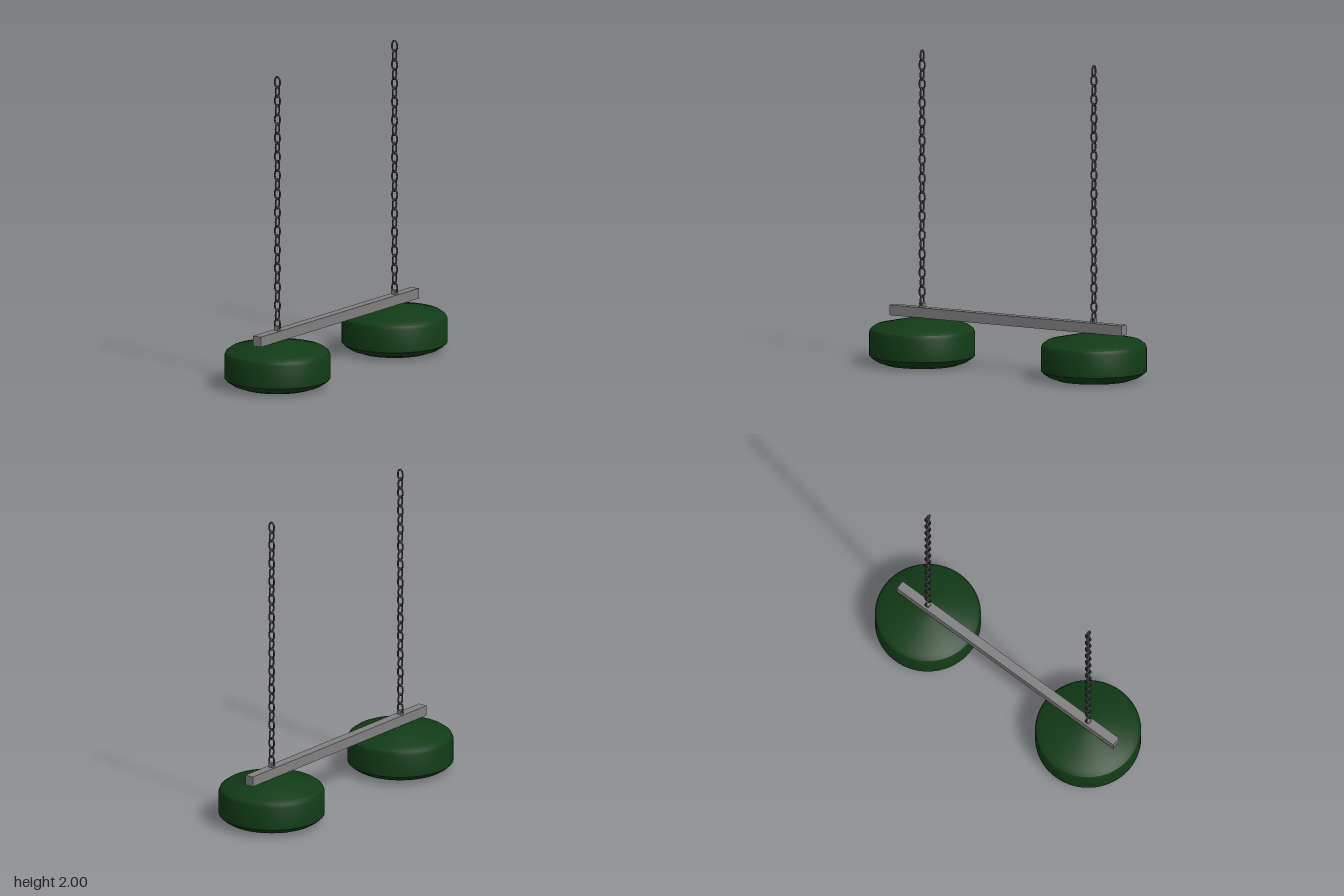
import * as THREE from 'three';
import { toCreasedNormals } from 'three/addons/utils/BufferGeometryUtils.js';

const LAMP_X = 0.637;
const paint = (color) => new THREE.MeshStandardMaterial({ color });
const green = paint(0x113b16);
const steel = paint(0x808080);
const iron = paint(0x484848);
const glass = paint(0xcccccc);

function add(parent, name, geometry, material, x = 0, y = 0, z = 0) {
  const mesh = new THREE.Mesh(geometry, material);
  mesh.name = name;
  mesh.position.set(x, y, z);
  parent.add(mesh);
  return mesh;
}

// Revolve [radius, height] pairs, keeping real edges sharp
function lathe(points, segments, crease) {
  const profile = points.map(([r, y]) => new THREE.Vector2(r, y));
  return toCreasedNormals(new THREE.LatheGeometry(profile, segments), crease);
}

// Oval chain link, upright in the xy plane
function linkGeometry() {
  const points = [];
  for (let i = 0; i < 16; i++) {
    const a = (i / 16) * Math.PI * 2;
    points.push(new THREE.Vector3(Math.cos(a) * 0.02, Math.sin(a) * 0.035, 0));
  }
  const path = new THREE.CatmullRomCurve3(points, true);
  return new THREE.TubeGeometry(path, 24, 0.0055, 8, true);
}

export function createModel() {
  const model = new THREE.Group();
  model.name = 'hangingLamp';

  add(model, 'crossBar', new THREE.BoxGeometry(1.72, 0.065, 0.06), steel, 0, 0.3275, 0);

  // Hollow shade: inner wall from the crown down, round the rim, up the outside
  const shade = lathe([
    [0, 0.28], [0.06, 0.278], [0.28, 0.228], [0.305, 0.215], [0.318, 0.19],
    [0.318, 0.06], [0.305, 0.042], [0.285, 0.032], [0.235, 0.015], [0.235, 0],
    [0.242, 0.004], [0.285, 0.018], [0.315, 0.037], [0.334, 0.055],
    [0.334, 0.2], [0.325, 0.222], [0.295, 0.244], [0.07, 0.292], [0.04, 0.297], [0, 0.297],
  ].map(([r, y]) => [r, y]), 64, 0.5);
  // Light bulb with its neck running up into the crown
  const bulb = lathe([
    [0, 0.065], [0.021, 0.069], [0.039, 0.081], [0.051, 0.099], [0.055, 0.12],
    [0.051, 0.141], [0.04, 0.163], [0.029, 0.19], [0.025, 0.21], [0.025, 0.225],
  ], 32, 0.8);
  const socket = new THREE.CylinderGeometry(0.032, 0.032, 0.06, 24);
  const link = linkGeometry();
  const eyelet = new THREE.BoxGeometry(0.03, 0.027, 0.03);

  for (const side of [-1, 1]) {
    const lamp = new THREE.Group();
    lamp.name = side > 0 ? 'leftLamp' : 'rightLamp';
    lamp.position.x = side * LAMP_X;
    model.add(lamp);
    add(lamp, 'shade', shade, green);
    add(lamp, 'bulb', bulb, glass);
    add(lamp, 'socket', socket, steel, 0, 0.25, 0);
    add(lamp, 'eyelet', eyelet, steel, 0, 0.3735, 0);

    // Chain links, every other one turned a quarter
    const chain = new THREE.Group();
    chain.name = 'chain';
    lamp.add(chain);
    for (let i = 0; i < 27; i++) {
      const mesh = add(chain, 'chainLink', link, iron, 0, 1.9595 - i * 0.06, 0);
      if (i % 2 === 0) mesh.rotation.y = Math.PI / 2;
    }
  }
  return model;
}
